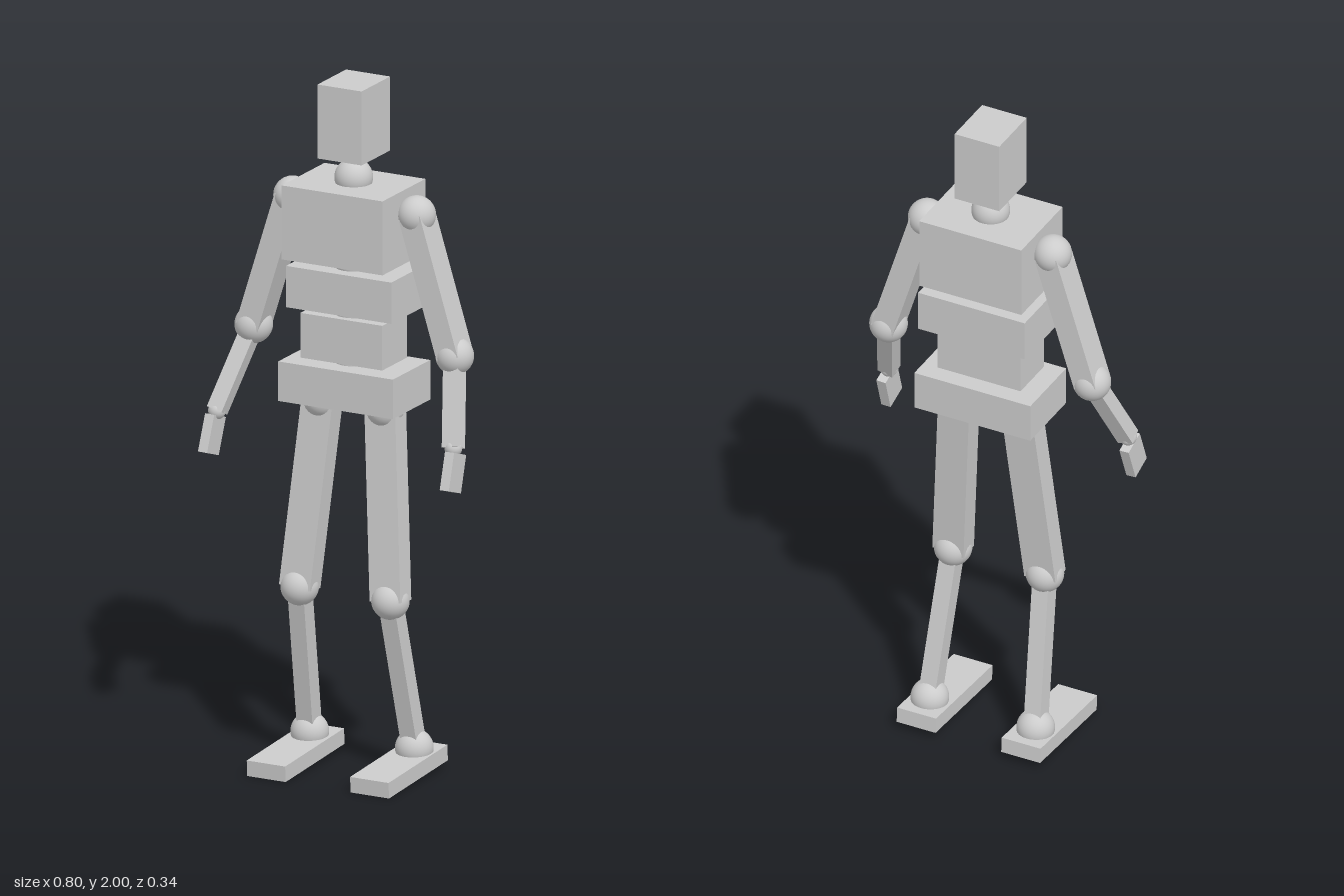
import * as THREE from 'three';

export function createModel() {
  const model = new THREE.Group();
  const material = new THREE.MeshStandardMaterial({ color: 0xcccccc });
  const R = 0.054; // joint ball radius

  const add = (name, geometry, x, y, z) => {
    const mesh = new THREE.Mesh(geometry, material);
    mesh.name = name;
    mesh.position.set(x, y, z);
    model.add(mesh);
    return mesh;
  };
  const ball = (name, [x, y, z], r = R) => add(name, new THREE.SphereGeometry(r, 32, 20), x, y, z);

  // Upright block given by half width, y range and z range
  const block = (name, halfX, y0, y1, z0, z1) =>
    add(name, new THREE.BoxGeometry(halfX * 2, y1 - y0, z1 - z0), 0, (y0 + y1) / 2, (z0 + z1) / 2);

  // Box stretched between two joints, its depth kept close to the z axis
  const limb = (name, from, to, width, depth) => {
    const a = new THREE.Vector3(...from), b = new THREE.Vector3(...to);
    const up = a.clone().sub(b);
    const length = up.length();
    up.normalize();
    const side = new THREE.Vector3().crossVectors(up, new THREE.Vector3(0, 0, 1)).normalize();
    const front = new THREE.Vector3().crossVectors(side, up);
    const mid = a.add(b).multiplyScalar(0.5);
    const mesh = add(name, new THREE.BoxGeometry(width, length, depth), mid.x, mid.y, mid.z);
    mesh.quaternion.setFromRotationMatrix(new THREE.Matrix4().makeBasis(side, up, front));
  };

  // Head and torso blocks
  block('head', 0.07, 1.785, 2.0, -0.12, 0.045);
  block('chest', 0.16, 1.49, 1.705, -0.16, 0.088);
  block('ribs', 0.167, 1.34, 1.46, -0.153, 0.05);
  block('abdomen', 0.13, 1.195, 1.325, -0.107, 0.035);
  block('pelvis', 0.182, 1.07, 1.185, -0.148, 0.068);

  // Neck and spine joints
  [['neck', 1.72], ['upperSpine', 1.475], ['midSpine', 1.333], ['lowerSpine', 1.19]]
    .forEach(([name, y]) => ball(name, [0, y, -0.037]));

  for (const [label, s] of [['left', 1], ['right', -1]]) {
    // Arm
    const shoulder = [s * 0.197, 1.638, -0.042];
    const elbow = [s * 0.319, 1.246, -0.04];
    const wrist = [s * 0.375, 1.015, 0.07];
    ball(label + 'Shoulder', shoulder);
    limb(label + 'UpperArm', shoulder, elbow, 0.07, 0.087);
    ball(label + 'Elbow', elbow);
    limb(label + 'Forearm', elbow, wrist, 0.048, 0.046);
    ball(label + 'Wrist', wrist, 0.025);
    limb(label + 'Hand', [s * 0.381, 1.0, 0.068], [s * 0.384, 0.898, 0.104], 0.029, 0.073);

    // Leg
    const hip = [s * 0.1, 1.062, -0.037];
    const knee = [s * 0.144, 0.523, 0.013];
    const ankle = [s * 0.166, 0.073, -0.085];
    ball(label + 'Hip', hip);
    limb(label + 'Thigh', hip, knee, 0.098, 0.063);
    ball(label + 'Knee', knee);
    limb(label + 'Shin', knee, ankle, 0.051, 0.052);
    ball(label + 'Ankle', ankle);

    // Foot, heel slightly raised
    const foot = add(label + 'Foot', new THREE.BoxGeometry(0.122, 0.046, 0.341), s * 0.164, 0.034, 0);
    foot.rotation.x = 0.062;
  }
  return model;
}
